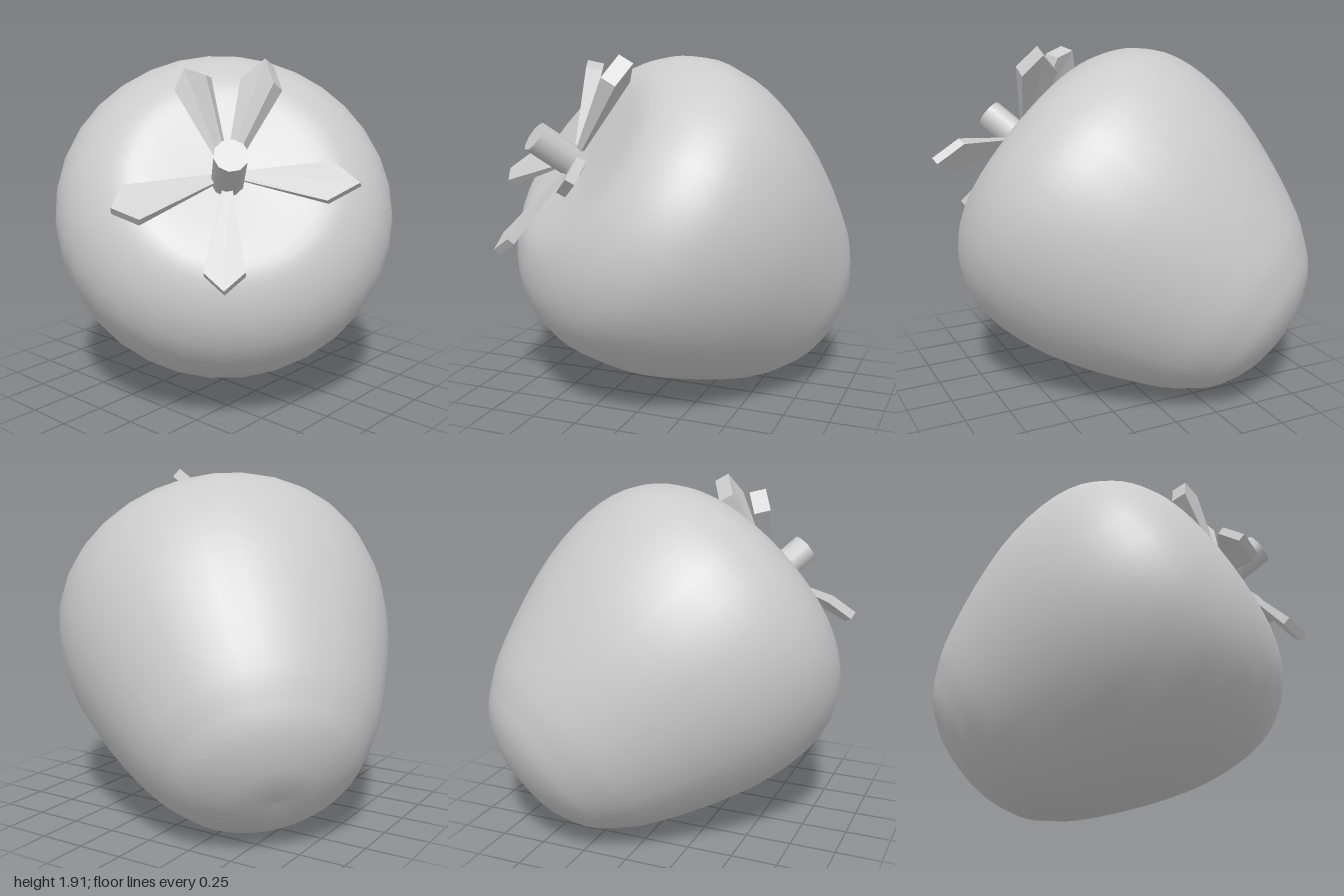
import * as THREE from 'three';

const grey = new THREE.MeshStandardMaterial({ color: 0xcccccc });
const crown = new THREE.Vector3(0.385, 1.34, 0.4);

// Leaf blade: a kite outline that thickens from the crown out to its shoulders.
function makeLeaf({ name, tip, across, width, shoulder, thickness }) {
  const along = new THREE.Vector3(...tip).sub(crown);
  const length = along.length();
  along.normalize();
  const side = new THREE.Vector3(...across);
  side.addScaledVector(along, -side.dot(along)).normalize();
  const up = new THREE.Vector3().crossVectors(side, along);
  const h = width / 2;
  const outline = new THREE.Shape([
    [-0.012, 0], [0.012, 0], [h, length * shoulder], [0, length], [-h, length * shoulder],
  ].map(([x, y]) => new THREE.Vector2(x, y)));
  const geometry = new THREE.ExtrudeGeometry(outline, { depth: thickness, bevelEnabled: false });
  geometry.translate(0, 0, -thickness / 2);
  const position = geometry.attributes.position;
  for (let i = 0; i < position.count; i++) {
    if (position.getY(i) < length * 0.1) position.setZ(i, position.getZ(i) * 0.25);
  }
  geometry.applyMatrix4(new THREE.Matrix4().makeBasis(side, along, up).setPosition(crown));
  geometry.computeVertexNormals();
  const leaf = new THREE.Mesh(geometry, grey);
  leaf.name = name;
  return leaf;
}

export function createModel() {
  const model = new THREE.Group();
  model.name = 'berry';

  // Fruit: blunt narrow end, full shoulder, shallow dimple under the leaves.
  const profile = new THREE.SplineCurve([
    [0, -1.155], [0.2, -1.15], [0.415, -1.055], [0.535, -0.93], [0.633, -0.79],
    [0.77, -0.5], [0.872, -0.2], [0.91, 0.07], [0.887, 0.29], [0.805, 0.45],
    [0.7, 0.555], [0.58, 0.625], [0.47, 0.648], [0.3, 0.64], [0, 0.615],
  ].map(([r, t]) => new THREE.Vector2(r, t)));
  const points = profile.getPoints(36);
  points.forEach((p) => { p.x = Math.max(p.x, 0); });
  const fruit = new THREE.Mesh(new THREE.LatheGeometry(points, 32), grey);
  fruit.name = 'fruit';
  fruit.position.set(-0.003, 0.97, 0);

  // The fruit leans on a diagonal axis and is slightly wider sideways.
  const axis = new THREE.Vector3(1.042, 1, 0.958).normalize();
  const wide = new THREE.Vector3(0.75, -0.08, -0.66);
  wide.addScaledVector(axis, -wide.dot(axis)).normalize();
  const narrow = new THREE.Vector3().crossVectors(wide, axis);
  fruit.quaternion.setFromRotationMatrix(new THREE.Matrix4().makeBasis(wide, axis, narrow));
  fruit.scale.set(1.022, 1, 0.993);
  model.add(fruit);

  // Stem
  const stem = new THREE.Mesh(new THREE.CylinderGeometry(0.086, 0.086, 0.3, 10), grey);
  stem.name = 'stem';
  stem.position.set(0.455, 1.39, 0.47);
  stem.quaternion.setFromUnitVectors(new THREE.Vector3(0, 1, 0), new THREE.Vector3(1, 1, 1).normalize());
  model.add(stem);

  // Five unevenly spread leaves, each with its own twist.
  const leaves = [
    { name: 'topLeaf', tip: [0.395, 1.88, 0.09], across: [0.185, 0.055, -0.045], width: 0.21, shoulder: 0.8, thickness: 0.09 },
    { name: 'upperRightLeaf', tip: [0.11, 1.85, 0.4], across: [0.87, 0.43, -0.5], width: 0.18, shoulder: 0.86, thickness: 0.09 },
    { name: 'leftLeaf', tip: [0.99, 1.33, 0.12], across: [0.06, -0.18, 0.09], width: 0.205, shoulder: 0.78, thickness: 0.05 },
    { name: 'lowerLeaf', tip: [0.66, 0.86, 0.74], across: [-0.15, -0.03, 0.14], width: 0.2, shoulder: 0.85, thickness: 0.045 },
    { name: 'frontLeaf', tip: [0.12, 1.21, 0.95], across: [-0.83, 0.59, -0.14], width: 0.23, shoulder: 0.84, thickness: 0.045 },
  ];
  for (const leaf of leaves) model.add(makeLeaf(leaf));

  return model;
}
